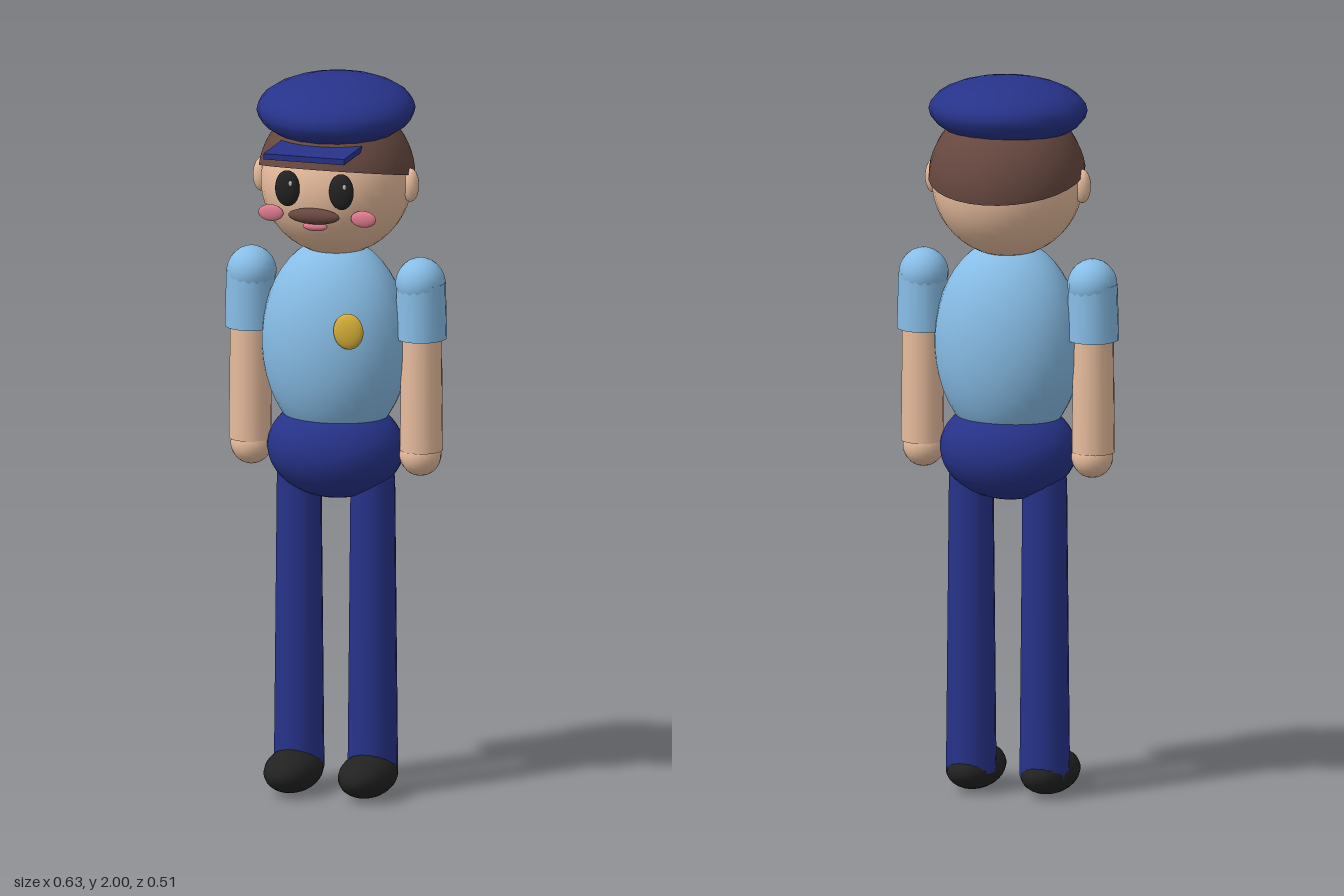
import * as THREE from 'three';

const mat = (name, color) => {
  const m = new THREE.MeshStandardMaterial({ color });
  m.name = name;
  return m;
};

export function createModel() {
  const navy = mat('navy', 0x27338a);
  const blue = mat('light blue', 0x8cc3ee);
  const skin = mat('skin', 0xe8bd9e);
  const brown = mat('brown', 0x674840);
  brown.side = THREE.DoubleSide;
  const black = mat('black', 0x222222);
  const pink = mat('pink', 0xe27c90);
  const gold = mat('gold', 0xd4ae38);
  const white = mat('pale grey', 0xb8b8b8);

  const model = new THREE.Group();
  model.name = 'officer';
  const Z = -0.036; // depth of the body's centre line

  function add(name, geometry, material, x, y, z) {
    const mesh = new THREE.Mesh(geometry, material);
    mesh.name = name;
    mesh.position.set(x, y, z);
    model.add(mesh);
    return mesh;
  }
  function ellipsoid(name, material, [x, y, z], [rx, ry, rz], segments = 24) {
    const geometry = new THREE.SphereGeometry(1, segments, Math.ceil(segments * 0.7));
    const mesh = add(name, geometry, material, x, y, z);
    mesh.scale.set(rx, ry, rz);
    return mesh;
  }
  function tube(name, material, x, y0, y1, rBottom, rTop) {
    return add(name, new THREE.CylinderGeometry(rTop, rBottom, y1 - y0, 16), material, x, (y0 + y1) / 2, Z);
  }

  // Head, hair and cap
  ellipsoid('head', skin, [0, 1.712, -0.04], [0.207, 0.207, 0.203], 32);
  const hair = add('hair', new THREE.SphereGeometry(0.215, 32, 14, 0, Math.PI * 2, 0, Math.PI * 0.477),
    brown, 0, 1.72, -0.042);
  hair.rotation.x = -0.22;
  const cap = ellipsoid('cap', navy, [0, 1.91, Z], [0.217, 0.09, 0.212], 20);
  cap.rotation.x = 0.05;
  add('capVisor', new THREE.BoxGeometry(0.23, 0.016, 0.17), navy, 0, 1.833, 0.172);

  // Face
  ellipsoid('moustache', brown, [0, 1.653, 0.165], [0.073, 0.022, 0.02]);
  ellipsoid('mouth', pink, [0, 1.622, 0.153], [0.035, 0.013, 0.013], 16);

  // Body
  ellipsoid('torso', blue, [0, 1.26, -0.033], [0.205, 0.29, 0.163], 32);
  ellipsoid('hips', navy, [0, 0.965, -0.033], [0.19, 0.14, 0.152], 32);
  ellipsoid('badge', gold, [0.087, 1.328, 0.128], [0.043, 0.05, 0.016], 20);

  // Mirrored parts
  for (const s of [1, -1]) {
    ellipsoid('ear', skin, [s * 0.212, 1.71, -0.036], [0.025, 0.047, 0.023], 12);
    ellipsoid('eye', black, [s * 0.077, 1.725, 0.16], [0.035, 0.05, 0.019], 20);
    ellipsoid('eyeHighlight', white, [s * 0.077 + 0.013, 1.742, 0.175], [0.006, 0.008, 0.004], 10);
    ellipsoid('cheek', pink, [s * 0.132, 1.647, 0.135], [0.036, 0.023, 0.01], 16);

    tube('sleeve', blue, s * 0.243, 1.285, 1.44, 0.071, 0.067);
    ellipsoid('shoulder', blue, [s * 0.241, 1.438, Z], [0.068, 0.07, 0.07], 18);
    tube('arm', skin, s * 0.244, 0.972, 1.33, 0.059, 0.055);
    ellipsoid('hand', skin, [s * 0.241, 0.957, Z], [0.057, 0.057, 0.057], 18);

    tube('leg', navy, s * 0.105, 0.06, 0.88, 0.069, 0.061);
    ellipsoid('legTop', navy, [s * 0.105, 0.88, Z], [0.061, 0.061, 0.061], 16);
    ellipsoid('shoe', black, [s * 0.106, 0.063, 0.01], [0.076, 0.06, 0.13]);
  }
  return model;
}
